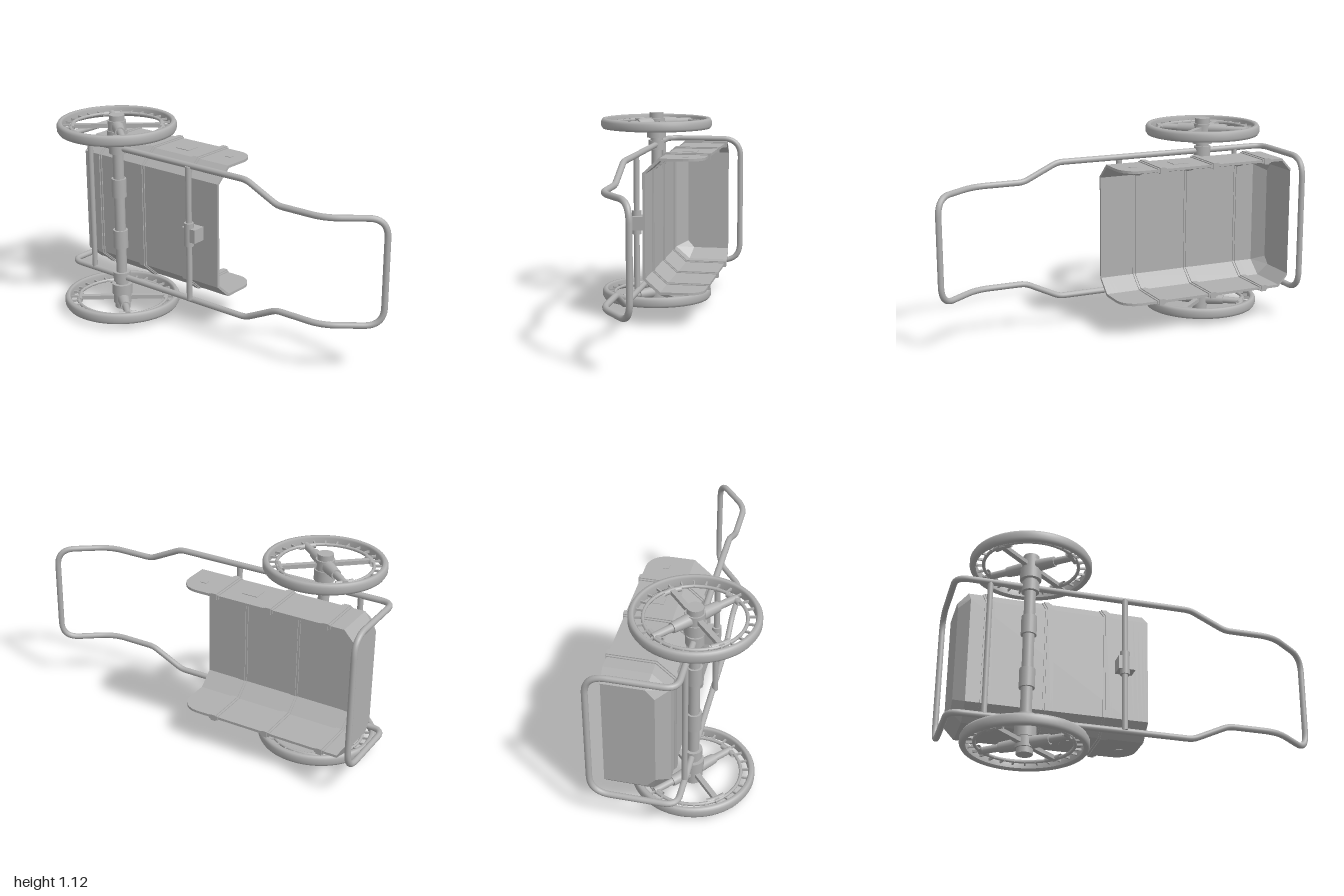
import * as THREE from 'three';

const MID = 0.5625; // height of the cart's centre plane (the axle stands upright)
const metal = new THREE.MeshStandardMaterial({ color: 0xb0b0b0, side: THREE.DoubleSide });
metal.name = 'grey metal';

function add(parent, geometry, name, x = 0, y = 0, z = 0) {
  const mesh = new THREE.Mesh(geometry, metal);
  mesh.name = name;
  mesh.position.set(x, y, z);
  parent.add(mesh);
  return mesh;
}

// Flat-faced surface through rows of points
function grid(rows, closed = false) {
  const pos = [];
  const n = rows[0].length;
  for (let r = 0; r + 1 < rows.length; r++) {
    for (let c = 0; c < (closed ? n : n - 1); c++) {
      const d = (c + 1) % n;
      const [a, b, e, f] = [rows[r][c], rows[r][d], rows[r + 1][d], rows[r + 1][c]];
      pos.push(...a, ...b, ...e, ...a, ...e, ...f);
    }
  }
  const g = new THREE.BufferGeometry();
  g.setAttribute('position', new THREE.Float32BufferAttribute(pos, 3));
  g.computeVertexNormals();
  return g;
}

// Chamfered U section of the tub; k = 1 gives the narrowed back end
function section({ u, top = -0.378, k = 0 }, off) {
  const half = [
    [u, 0.37 - 0.06 * k + off, top],
    [u, 0.37 - 0.06 * k + off, -0.14 - 0.02 * k + off * 0.4],
    [u, 0.29 - 0.03 * k + off * 0.4, -0.05 - 0.065 * k + off],
  ];
  return [...half, ...half.map(([a, b, c]) => [a, -b, c]).reverse()];
}

// Thick-walled trough through several sections, with closed edges
function shell(parent, name, rows, outer, inner) {
  const group = new THREE.Group();
  group.name = name;
  add(group, grid(rows.map(r => [...section(r, outer), ...section(r, inner).reverse()]), true), name + 'Wall');
  for (const r of [rows[0], rows[rows.length - 1]]) {
    add(group, grid([section(r, outer), section(r, inner)]), name + 'Edge');
  }
  parent.add(group);
}

// Path with rounded corners; each point is [x, y, z, radius]
function roundedLoop(points) {
  const path = new THREE.CurvePath();
  const v = points.map(p => new THREE.Vector3(p[0], p[1], p[2]));
  const n = v.length;
  const towards = (i, j) => v[i].clone().add(v[j].clone().sub(v[i]).setLength(points[i][3]));
  for (let i = 0; i < n; i++) {
    const prev = (i + n - 1) % n, next = (i + 1) % n;
    path.add(new THREE.QuadraticBezierCurve3(towards(i, prev), v[i], towards(i, next)));
    path.add(new THREE.LineCurve3(towards(i, next), towards(next, i)));
  }
  return path;
}

const cyl = (r, h, r2 = r, seg = 24) => new THREE.CylinderGeometry(r, r2, h, seg);

function makeWheel(s) {
  const wheel = new THREE.Group();
  wheel.name = s > 0 ? 'upperWheel' : 'lowerWheel';
  const tyre = [[0.29, -0.02], [0.298, -0.03], [0.314, -0.028], [0.322, -0.014],
    [0.322, 0.014], [0.314, 0.028], [0.298, 0.03], [0.29, 0.02], [0.29, -0.02]];
  add(wheel, new THREE.LatheGeometry(tyre.map(p => new THREE.Vector2(...p)), 64), 'tyre');
  const ring = add(wheel, new THREE.TorusGeometry(0.25, 0.009, 8, 64), 'innerRing');
  ring.rotation.x = Math.PI / 2;

  // Radial part lying in the wheel plane
  const radial = (geo, name, angle, r) => {
    const holder = new THREE.Group();
    holder.name = name + 'Holder';
    holder.rotation.y = -angle;
    const m = add(holder, geo, name, r, 0, 0);
    wheel.add(holder);
    return m;
  };
  for (let i = 0; i < 28; i++) {
    radial(new THREE.BoxGeometry(0.055, 0.012, 0.008), 'rimTick', i * Math.PI / 14, 0.27);
  }
  [53, 152, 233, 333].forEach((deg, i) => {
    const a = deg * Math.PI / 180;
    if (i % 2 === 0) {
      // Heavy spokes with a sleeve near the hub
      radial(cyl(0.018, 0.25, 0.022, 16), 'heavySpoke', a, 0.13).rotation.z = -Math.PI / 2;
      radial(cyl(0.027, 0.1, 0.033, 16), 'spokeSleeve', a, 0.09).rotation.z = -Math.PI / 2;
    } else {
      radial(new THREE.BoxGeometry(0.25, 0.022, 0.028), 'lightSpoke', a, 0.13);
    }
    // Curved foot joining the spoke to the inner ring
    const foot = add(wheel, new THREE.TorusGeometry(0.24, 0.014, 8, 12, 0.4), 'spokeFoot');
    foot.rotation.set(Math.PI / 2, 0, a - 0.2);
  });
  add(wheel, cyl(0.05, 0.075), 'hub', 0, -s * 0.008, 0);
  add(wheel, cyl(0.042, 0.032), 'hubCap', 0, s * 0.044, 0);
  wheel.position.set(-0.62, MID + s * 0.5025, 0.1);
  return wheel;
}

export function createModel() {
  const model = new THREE.Group();
  model.name = 'handCart';

  // Cart body, tilted about the axle
  const body = new THREE.Group();
  body.name = 'cartBody';
  body.position.set(-0.62, MID, 0.1);
  body.rotation.y = -0.231;
  model.add(body);

  // Bent tube frame with pulling handle and rear hoop
  const half = [
    [1.605, 0.283, -0.186, 0.1], [1.36, 0.283, 0, 0.08], [1.08, 0.283, 0, 0.03],
    [0.883, 0.377, 0, 0.03], [-0.39, 0.377, 0, 0.07], [-0.39, 0.377, -0.445, 0.11],
  ];
  const loop = [...half, ...half.map(([x, y, z, r]) => [x, -y, z, r]).reverse()];
  add(body, new THREE.TubeGeometry(roundedLoop(loop), 360, 0.0165, 12, true), 'tubeFrame');

  // Tub with narrowed back end and rounded front corners
  const rows = [{ u: -0.355, k: 1 }, { u: -0.3 }, { u: 0.549 }];
  for (let i = 1; i <= 6; i++) {
    const a = i * Math.PI / 12;
    rows.push({ u: 0.549 + 0.107 * Math.sin(a), top: -0.378 + 0.107 * (1 - Math.cos(a)) });
  }
  shell(body, 'tub', rows, 0, -0.014);
  const back = section(rows[0], 0);
  add(body, grid([back.slice(0, 3), back.slice(3).reverse()]), 'tubBackWall');

  // Pressed ribs around the tub
  for (const u of [-0.2, 0.12, 0.437]) {
    shell(body, 'tubRib', [{ u: u - 0.026, top: -0.382 }, { u: u + 0.026, top: -0.382 }], 0.005, -0.019);
    shell(body, 'tubRibCrest', [{ u: u - 0.015, top: -0.386 }, { u: u + 0.015, top: -0.386 }], 0.01, -0.024);
  }

  // Small plates on the tub sides
  for (const s of [-1, 1]) {
    add(body, new THREE.BoxGeometry(0.09, 0.004, 0.08), 'sidePlate', 0.28, s * 0.371, -0.25);
    add(body, new THREE.BoxGeometry(0.035, 0.004, 0.03), 'smallSidePlate', 0.56, s * 0.371, -0.27);
  }

  // Cross bars and the front support block
  add(body, cyl(0.015, 0.75, 0.015, 16), 'rearCrossBar', -0.21, 0, 0);
  add(body, cyl(0.016, 0.75, 0.016, 16), 'frontCrossBar', 0.512, 0, 0.012);
  add(body, cyl(0.026, 0.13, 0.026, 16), 'supportCollar', 0.512, 0, 0.012);
  add(body, new THREE.BoxGeometry(0.09, 0.075, 0.075), 'supportBlock', 0.52, 0, -0.008);

  // Axle with collars
  add(body, cyl(0.03, 0.9), 'axle');
  for (const s of [-1, 1]) {
    add(body, cyl(0.041, 0.105), 'axleSleeve', 0, s * 0.15, 0);
    add(body, cyl(0.047, 0.055), 'axleBracket', 0, s * 0.375, 0);
    add(body, cyl(0.036, 0.03), 'axleNeck', 0, s * 0.41, 0);
    add(body, cyl(0.056, 0.06), 'axleDrum', 0, s * 0.448, 0);
    model.add(makeWheel(s));
  }
  return model;
}
